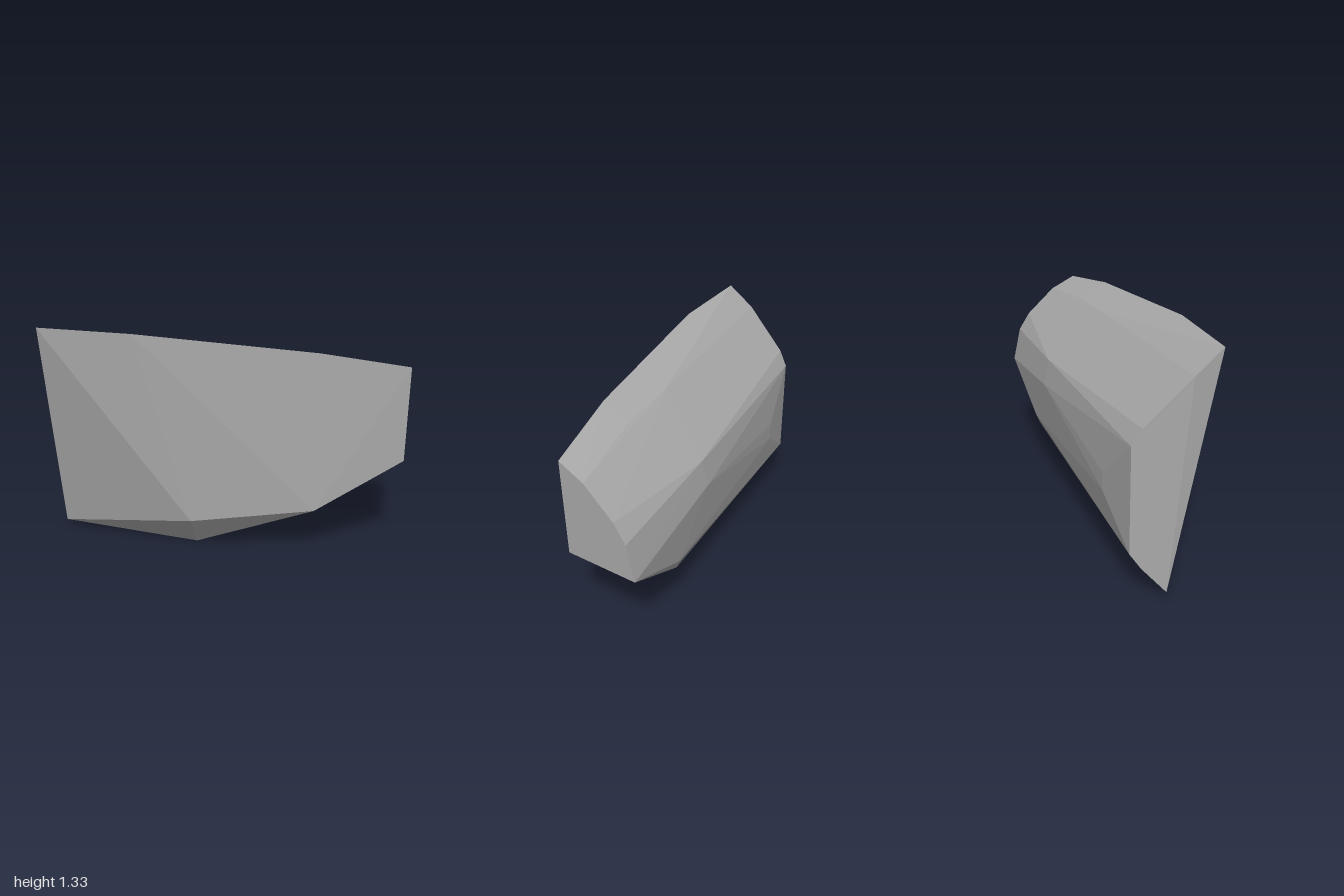
import * as THREE from 'three';
import { ConvexGeometry } from 'three/addons/geometries/ConvexGeometry.js';

const stoneGrey = new THREE.MeshStandardMaterial({ color: 0xaaaaaa });
stoneGrey.name = 'stoneGrey';
stoneGrey.flatShading = true;

export function createModel() {
  // corners of each region of the faceted shard
  const frontFace = [[-0.98, 1.33, 0.33], [-0.17, 0.21, 0.25], [0.53, 0.32, 0.19]];
  const topEdge = [[-0.46, 1.32, 0.315], [0.53, 1.235, 0.18], [0.15, 1.17, 0.06], [0.53, 1.15, 0.03]];
  const rightEnd = [
    [1, 0.62, 0.075], [1, 1.16, 0.085], [1, 1.085, -0.055],
    [1, 0.925, -0.22], [1, 0.82, -0.285], [1, 0.615, -0.33],
  ];
  const leftEnd = [
    [-1, 0.05, 0.09], [-1, 1.21, 0.185], [-0.98, 0.97, -0.05],
    [-0.97, 0.88, -0.1], [-0.97, 0.29, -0.1], [-0.98, 0.2, -0.04],
  ];
  const back = [
    [-0.68, 0.605, -0.16], [-0.68, 0.5, -0.16], [0.24, 0.72, -0.27],
    [0.26, 0.87, -0.24], [0.48, 0.84, -0.255],
  ];
  const underside = [[-0.17, 0, 0.1], [0.53, 0.335, -0.25], [0.535, 0.395, -0.275]];

  const corners = [frontFace, topEdge, rightEnd, leftEnd, back, underside]
    .flat().map((p) => new THREE.Vector3(...p));
  const shard = new THREE.Mesh(new ConvexGeometry(corners), stoneGrey);
  shard.name = 'stoneShard';

  const model = new THREE.Group();
  model.name = 'facetedStone';
  model.add(shard);
  return model;
}
